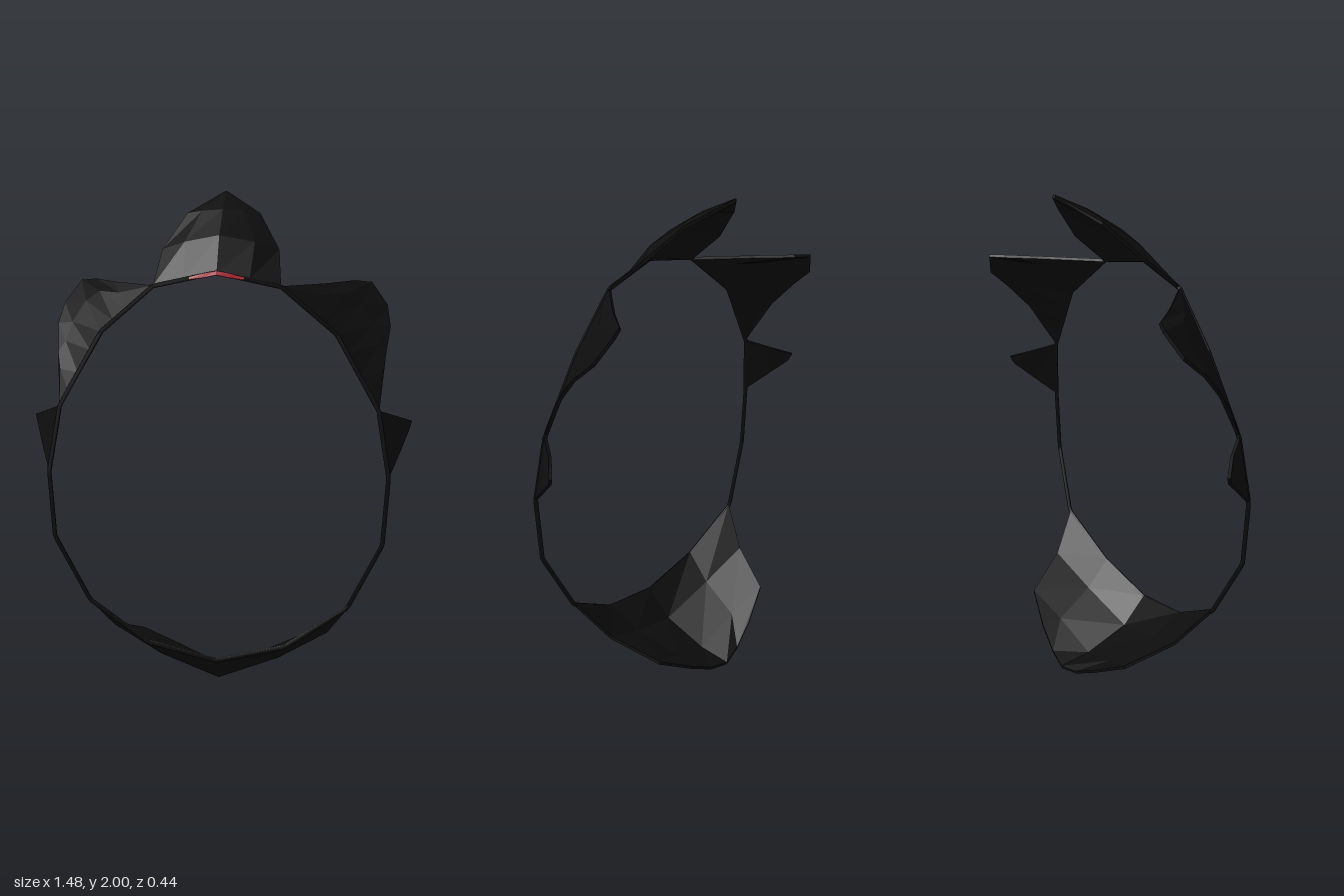
import * as THREE from 'three';

const black = new THREE.MeshStandardMaterial({ color: 0x0d0d0d });
black.name = 'black shell';
const red = new THREE.MeshStandardMaterial({ color: 0xa81024 });
red.name = 'red trim';

const flip = ([x, y, z]) => [-x, y, z];
// Half a row, from the centre outwards, completed to both sides
const bothSides = (half) => [...half.slice(1).reverse().map(flip), ...half];

function facets(points, index) {
  const g = new THREE.BufferGeometry();
  g.setAttribute('position', new THREE.Float32BufferAttribute(points, 3));
  g.setIndex(index);
  return g;
}

// Thin faceted plate: a grid of points thickened along its normals, with closed rims
function plate(name, rows, material = black, thickness = 0.012) {
  const nr = rows.length, nc = rows[0].length, n = nr * nc;
  const pos = rows.flat(2), sheet = [], rim = [];
  for (let r = 0; r < nr - 1; r++) {
    for (let c = 0; c < nc - 1; c++) {
      const a = r * nc + c, b = a + 1, d = b + nc, e = a + nc;
      sheet.push(a, b, d, a, d, e);
    }
  }
  const normals = facets(pos, sheet).computeVertexNormals;
  const mid = facets(pos, sheet);
  normals.call(mid);
  const nor = mid.attributes.normal.array;
  const layer = (s) => pos.map((v, i) => v + s * nor[i] * thickness / 2);

  // Walk the border in the winding direction of the sheet
  for (let c = 0; c < nc - 1; c++) rim.push(c);
  for (let r = 0; r < nr - 1; r++) rim.push(r * nc + nc - 1);
  for (let c = nc - 1; c > 0; c--) rim.push((nr - 1) * nc + c);
  for (let r = nr - 1; r > 0; r--) rim.push(r * nc);
  const index = [...sheet];
  for (let i = 0; i < sheet.length; i += 3) {
    index.push(sheet[i] + n, sheet[i + 2] + n, sheet[i + 1] + n);
  }
  rim.forEach((a, i) => {
    const b = rim[(i + 1) % rim.length];
    index.push(a, a + n, b + n, a, b + n, b);
  });
  const g = facets([...layer(1), ...layer(-1)], index).toNonIndexed();
  g.computeVertexNormals();
  const mesh = new THREE.Mesh(g, material);
  mesh.name = name;
  return mesh;
}

export function createModel() {
  const model = new THREE.Group();
  model.name = 'faceFrame';

  // Oval rim around the open face
  const half = [
    [0, 1.708, 0.183], [0.237, 1.657, 0.17], [0.443, 1.482, 0.143], [0.605, 1.2, 0.165],
    [0.648, 0.95, 0.19], [0.633, 0.687, 0.192], [0.507, 0.418, 0.163], [0.267, 0.26, 0.198], [0, 0.2, 0.212],
  ];
  const loop = [...half, ...half.slice(1, -1).reverse().map(flip)].map((p) => new THREE.Vector3(...p));
  const path = new THREE.CatmullRomCurve3(loop, true, 'catmullrom', 0);
  const rimGeometry = new THREE.TubeGeometry(path, 200, 0.009, 5, true);
  const rim = new THREE.Mesh(rimGeometry, black);
  rim.name = 'rim';
  model.add(rim);

  // Pointed crest sweeping back over the forehead
  const tip = [0, 1.996, -0.215];
  model.add(plate('crest', [
    [[0, 1.705, 0.185], [0.12, 1.682, 0.178], [0.235, 1.655, 0.17]],
    [[0, 1.835, 0.075], [0.13, 1.81, 0.06], [0.22, 1.78, 0.02]],
    [[0, 1.927, -0.07], [0.08, 1.922, -0.085], [0.14, 1.912, -0.105]],
    [tip, [0.004, 1.994, -0.214], [0.008, 1.992, -0.213]],
  ].map(bothSides)));

  // Chin guard
  model.add(plate('chinGuard', [
    [[0, 0.205, 0.215], [0.265, 0.265, 0.2], [0.505, 0.42, 0.165]],
    [[0, 0.09, 0.11], [0.235, 0.17, 0.08], [0.43, 0.27, 0.04]],
    [[0, 0.022, -0.08], [0.19, 0.1, -0.1], [0.345, 0.18, -0.14]],
    [[0, 0.008, -0.218], [0.09, 0.03, -0.205], [0.2, 0.092, -0.185]],
  ].map(bothSides)));

  // Temple flap: columns run from the rim out to the free edge
  const A = [0.235, 1.655, 0.17], C = [0.602, 1.2, 0.165];
  const templeColumns = [
    [A, A, A],
    [[0.34, 1.565, 0.155], [0.38, 1.62, 0.075], [0.41, 1.655, -0.01]],
    [[0.39, 1.523, 0.147], [0.47, 1.62, 0.0], [0.51, 1.657, -0.13]],
    [[0.44, 1.48, 0.14], [0.53, 1.58, -0.03], [0.575, 1.65, -0.163]],
    [[0.48, 1.41, 0.147], [0.58, 1.5, 0.0], [0.637, 1.565, -0.125]],
    [[0.53, 1.325, 0.153], [0.6, 1.43, 0.04], [0.647, 1.49, -0.04]],
    [[0.57, 1.26, 0.16], [0.61, 1.33, 0.1], [0.627, 1.39, 0.05]],
    [C, C, C],
  ];
  const templeRows = [0, 1, 2].map((r) => templeColumns.map((col) => col[r]));

  // Small cheek spike
  const cheekRows = [
    [C, [0.645, 0.95, 0.19]],
    [[0.665, 1.168, 0.08], [0.69, 1.033, 0.1]],
    [[0.737, 1.135, 0.008], [0.727, 1.105, 0.022]],
  ];
  for (const [side, place] of [['left', (p) => p], ['right', flip]]) {
    model.add(plate(side + 'TempleFlap', templeRows.map((row) => row.map(place))));
    model.add(plate(side + 'CheekSpike', cheekRows.map((row) => row.map(place))));
  }

  // Red sliver at the base of the crest
  model.add(plate('browTrim', [
    [[0, 1.699, 0.194], [0.05, 1.689, 0.191], [0.1, 1.682, 0.186]],
    [[0, 1.713, 0.188], [0.045, 1.706, 0.186], [0.1, 1.69, 0.182]],
  ].map(bothSides), red, 0.006));

  return model;
}
